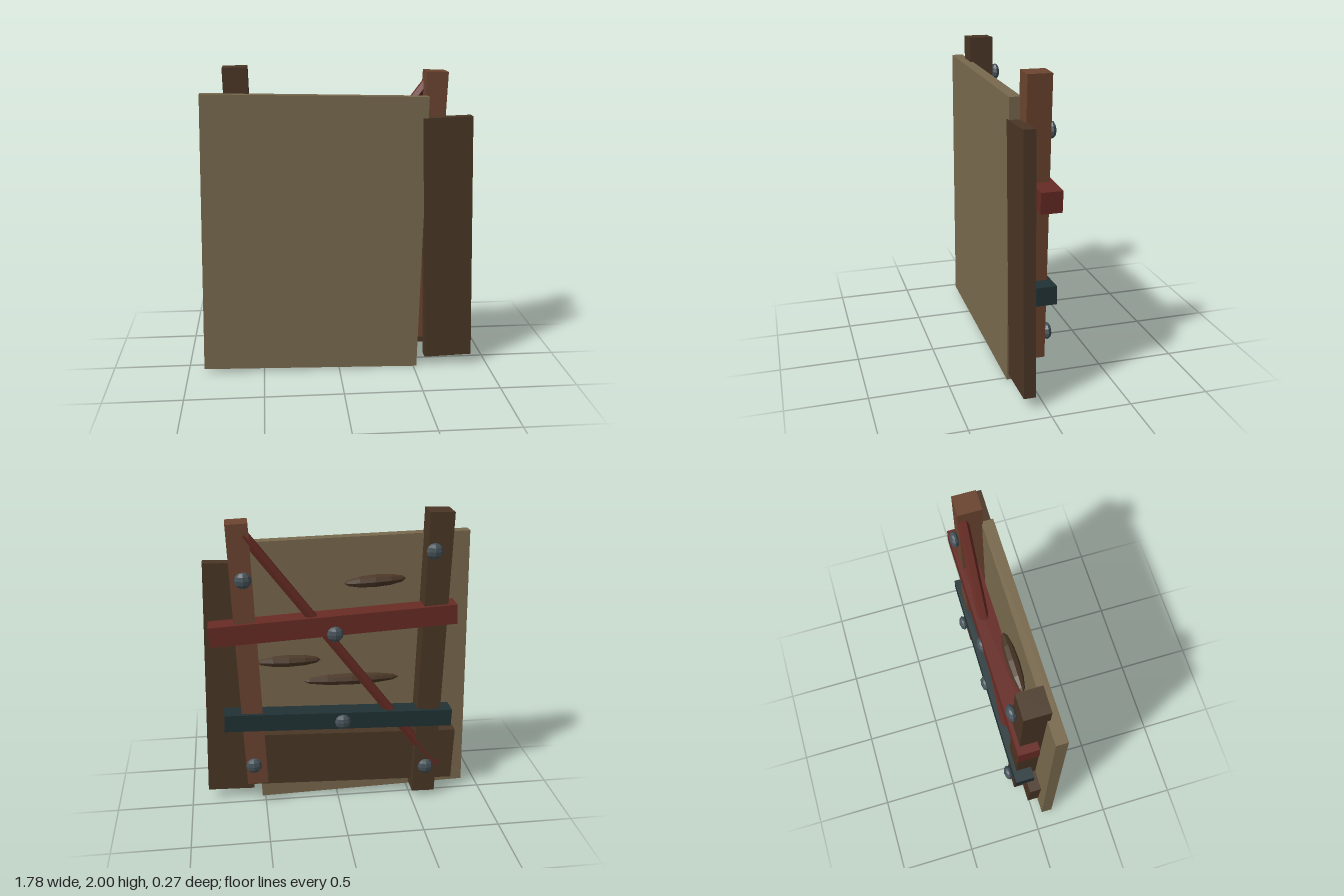
import * as THREE from 'three';

export function createModel() {
  const model = new THREE.Group();
  model.name = 'boardedPanel';

  const mat = (name, color) => {
    const m = new THREE.MeshStandardMaterial({ color, flatShading: true });
    m.name = name;
    return m;
  };
  const paleWood = mat('paleWood', 0x78694d);
  const darkWood = mat('darkWood', 0x4a3625);
  const redBrownWood = mat('redBrownWood', 0x6b4430);
  const redPaint = mat('redPaint', 0x672b24);
  const tealPaint = mat('tealPaint', 0x213235);
  const iron = mat('iron', 0x46535a);

  const add = (name, geometry, material, x, y, z, degrees = 0) => {
    const mesh = new THREE.Mesh(geometry, material);
    mesh.name = name;
    mesh.position.set(x, y, z);
    mesh.rotation.z = THREE.MathUtils.degToRad(degrees);
    model.add(mesh);
    return mesh;
  };

  // A plank given by its centre, width, height, z range and tilt
  const plank = (name, material, x, y, w, h, z0, z1, degrees) =>
    add(name, new THREE.BoxGeometry(w, h, z1 - z0), material, x, y, (z0 + z1) / 2, degrees);

  // Front boards
  plank('mainPanel', paleWood, -0.167, 0.924, 1.416, 1.81, 0.06, 0.133, -1.25);
  plank('sideBoard', darkWood, 0.707, 0.88, 0.315, 1.612, 0.063, 0.137, 1.8);

  // Upright posts
  plank('rightPost', darkWood, -0.612, 1.02, 0.155, 1.955, -0.08, 0.077, 1.5);
  plank('leftPost', redBrownWood, 0.586, 1.075, 0.137, 1.775, -0.08, 0.068, -2.2);

  // Cross boards and rails on the back
  plank('lowerBoard', darkWood, -0.115, 0.309, 1.375, 0.37, -0.018, 0.06, 2);
  plank('upperRail', redPaint, 0.033, 1.3, 1.58, 0.13, -0.105, 0.027, -3.1);
  plank('lowerRail', tealPaint, 0, 0.633, 1.51, 0.115, -0.105, 0.022, 1.9);

  // Six-sided diagonal strut
  const from = new THREE.Vector2(-0.67, 0.235);
  const to = new THREE.Vector2(0.58, 1.89);
  const span = to.clone().sub(from);
  add('diagonalStrut', new THREE.CylinderGeometry(0.035, 0.035, span.length(), 6), redPaint,
    (from.x + to.x) / 2, (from.y + to.y) / 2, -0.05,
    THREE.MathUtils.radToDeg(span.angle()) - 90);

  // Domed bolts on posts and rails
  const boltGeometry = new THREE.SphereGeometry(0.053, 8, 6);
  boltGeometry.scale(1, 1, 0.57);
  const bolts = [[-0.59, 1.76], [0.595, 1.62], [0.03, 1.245], [-0.02, 0.625], [0.575, 0.34], [-0.59, 0.25]];
  for (const [x, y] of bolts) add('bolt', boltGeometry, iron, x, y, -0.105);

  // Long tapered splinters behind the panel
  const splinterGeometry = new THREE.SphereGeometry(1, 8, 6);
  splinterGeometry.rotateZ(Math.PI / 2);
  const splinters = [[-0.24, 1.55, 0.2, -2.8], [0.32, 1.03, 0.21, 0], [-0.09, 0.88, 0.32, 0]];
  for (const [x, y, halfLength, degrees] of splinters) {
    add('splinter', splinterGeometry, darkWood, x, y, 0.015, degrees).scale.set(halfLength, 0.042, 0.04);
  }

  return model;
}
